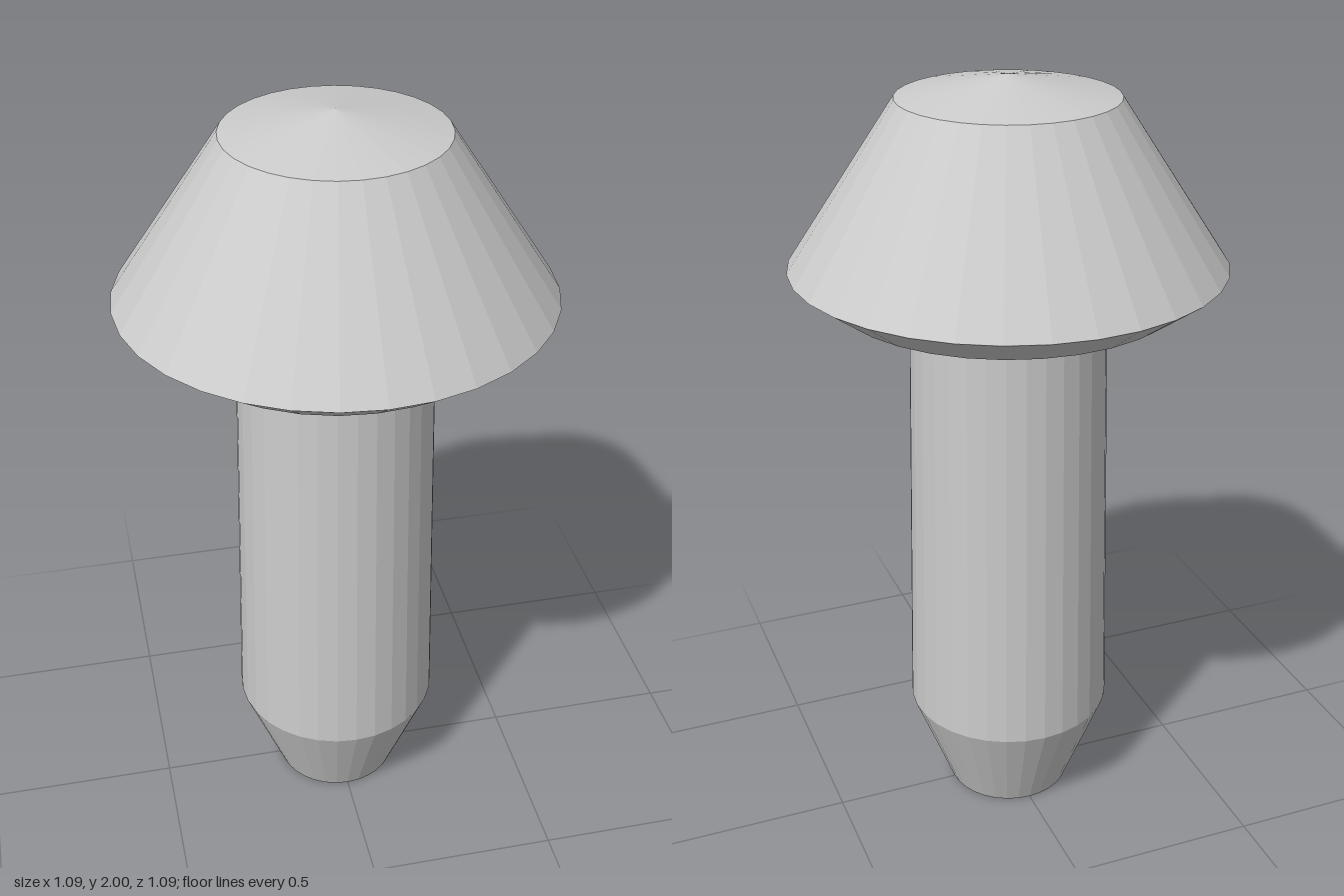
import * as THREE from 'three';

const SIDES = 32;

// Faceted turned part from [radius, height] points, listed from bottom to top on the outside
function turned(name, points, material) {
  const profile = points.map(([r, y]) => new THREE.Vector2(r, y));
  const mesh = new THREE.Mesh(new THREE.LatheGeometry(profile, SIDES), material);
  mesh.name = name;
  return mesh;
}

export function createModel() {
  const model = new THREE.Group();
  model.name = 'mushroom';
  const material = new THREE.MeshStandardMaterial({ color: 0xcccccc, flatShading: true });

  // Stem: tapered foot, widest just above it, slightly narrower toward the cap
  model.add(turned('stem', [[0, 0], [0.165, 0], [0.272, 0.275], [0.248, 1.46], [0.24, 1.82], [0, 1.82]], material));

  // Cap: hollow conical underside, bevelled rim, sloping side and shallow pointed top
  model.add(turned('cap', [[0, 1.8], [0.24, 1.8], [0.44, 1.457], [0.547, 1.535], [0.273, 1.948], [0, 2]], material));

  return model;
}
